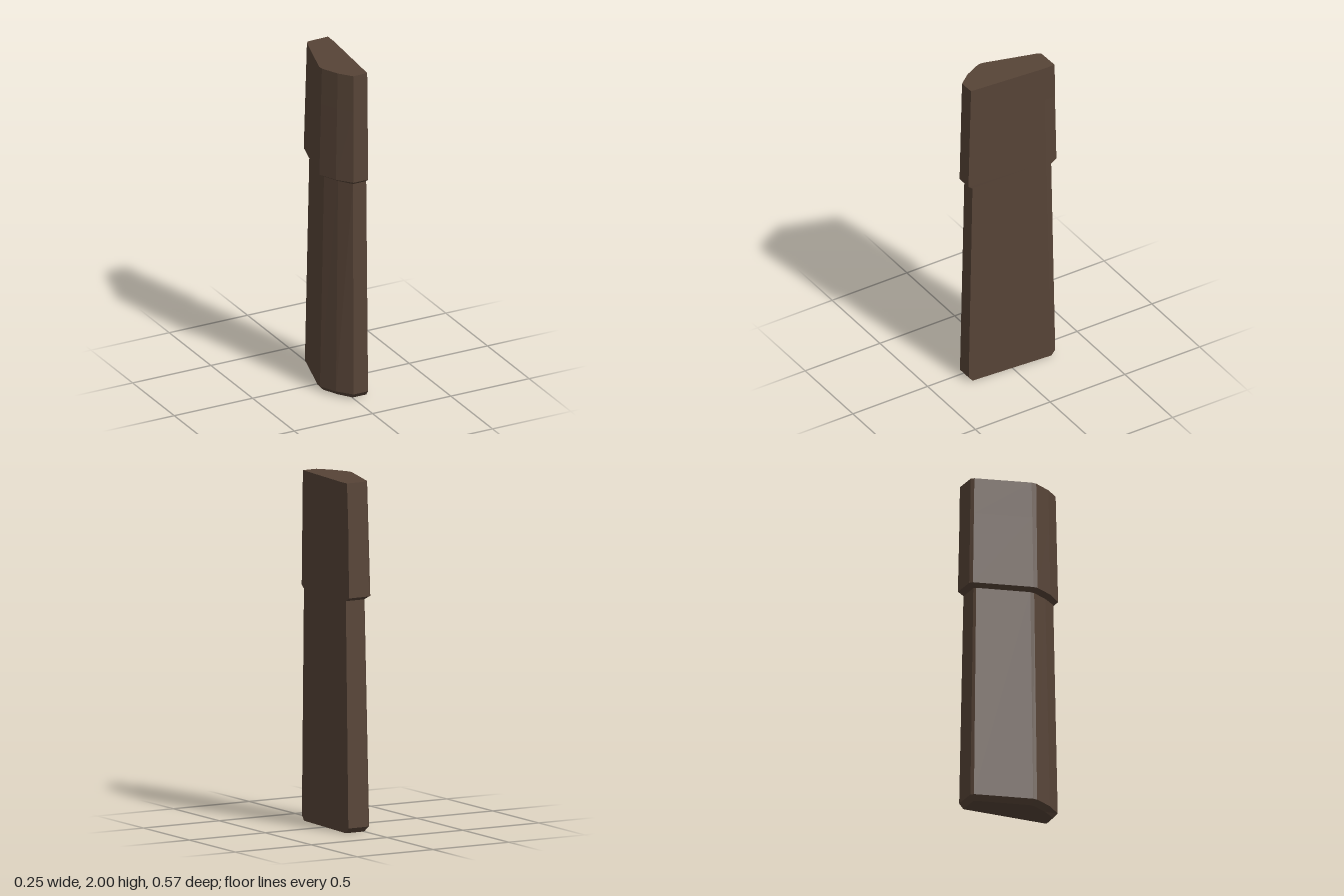
import * as THREE from 'three';

// Cross-sections as [x, z] corners, counter-clockwise seen from above
const topEnd = [[0.125, -0.27], [-0.005, -0.266], [-0.02, -0.25], [-0.11, 0.065], [-0.108, 0.095],
  [-0.06, 0.195], [0, 0.27], [0.09, 0.267], [0.125, -0.2]];
const upperFoot = [[0.12, -0.285], [-0.015, -0.28], [-0.032, -0.265], [-0.125, 0.07], [-0.124, 0.095],
  [-0.075, 0.2], [-0.005, 0.283], [0.088, 0.283], [0.12, -0.215]];
const neck = [[0.12, -0.25], [0, -0.247], [-0.012, -0.235], [-0.094, 0.065], [-0.092, 0.09],
  [-0.05, 0.18], [0.004, 0.257], [0.089, 0.257], [0.12, -0.215]];
const lowerFoot = [[0.12, -0.277], [-0.013, -0.272], [-0.029, -0.257], [-0.121, 0.07], [-0.12, 0.095],
  [-0.073, 0.198], [-0.004, 0.281], [0.088, 0.281], [0.12, -0.248]];
const base = [[0.12, -0.251], [0, -0.248], [-0.012, -0.236], [-0.094, 0.065], [-0.092, 0.09],
  [-0.05, 0.18], [0.004, 0.256], [0.089, 0.256], [0.12, -0.247]];

const blend = (a, b, t) => a.map((p, i) => p.map((v, k) => v + (b[i][k] - v) * t));

// Skins a stack of [height, section] rings, with optional end caps
function loft(rings, capBottom, capTop) {
  const n = rings[0][1].length;
  const positions = rings.flatMap(([y, section]) => section.flatMap(([x, z]) => [x, y, z]));
  const index = [];
  for (let r = 0; r < rings.length - 1; r++) {
    for (let i = 0; i < n; i++) {
      const a = r * n + i, b = r * n + (i + 1) % n;
      index.push(a, b, b + n, a, b + n, a + n);
    }
  }
  const last = (rings.length - 1) * n;
  for (let i = 1; i < n - 1; i++) {
    if (capBottom) index.push(0, i + 1, i);
    if (capTop) index.push(last, last + i, last + i + 1);
  }
  const indexed = new THREE.BufferGeometry();
  indexed.setAttribute('position', new THREE.Float32BufferAttribute(positions, 3));
  indexed.setIndex(index);
  const geometry = indexed.toNonIndexed();
  geometry.computeVertexNormals();
  return geometry;
}

export function createModel() {
  const group = new THREE.Group();
  group.name = 'taperedPost';
  const darkWood = new THREE.MeshStandardMaterial({ color: 0x574437 });
  darkWood.name = 'darkWood';
  darkWood.flatShading = true;

  const add = (name, geometry) => {
    const mesh = new THREE.Mesh(geometry, darkWood);
    mesh.name = name;
    group.add(mesh);
  };

  // Lower section, bevelled at its foot and narrowing upwards
  add('lowerSection', loft([[0, base], [0.03, lowerFoot], [1.325, neck]], true, false));

  // Upper section overhanging the lower one; its inner edge flares slightly near the top
  add('upperSection', loft([
    [1.325, neck], [1.345, upperFoot],
    [1.78, blend(upperFoot, topEnd, 0.66).map(([x, z]) => [Math.min(x, 0.12), z])],
    [2, topEnd],
  ], false, true));

  return group;
}
